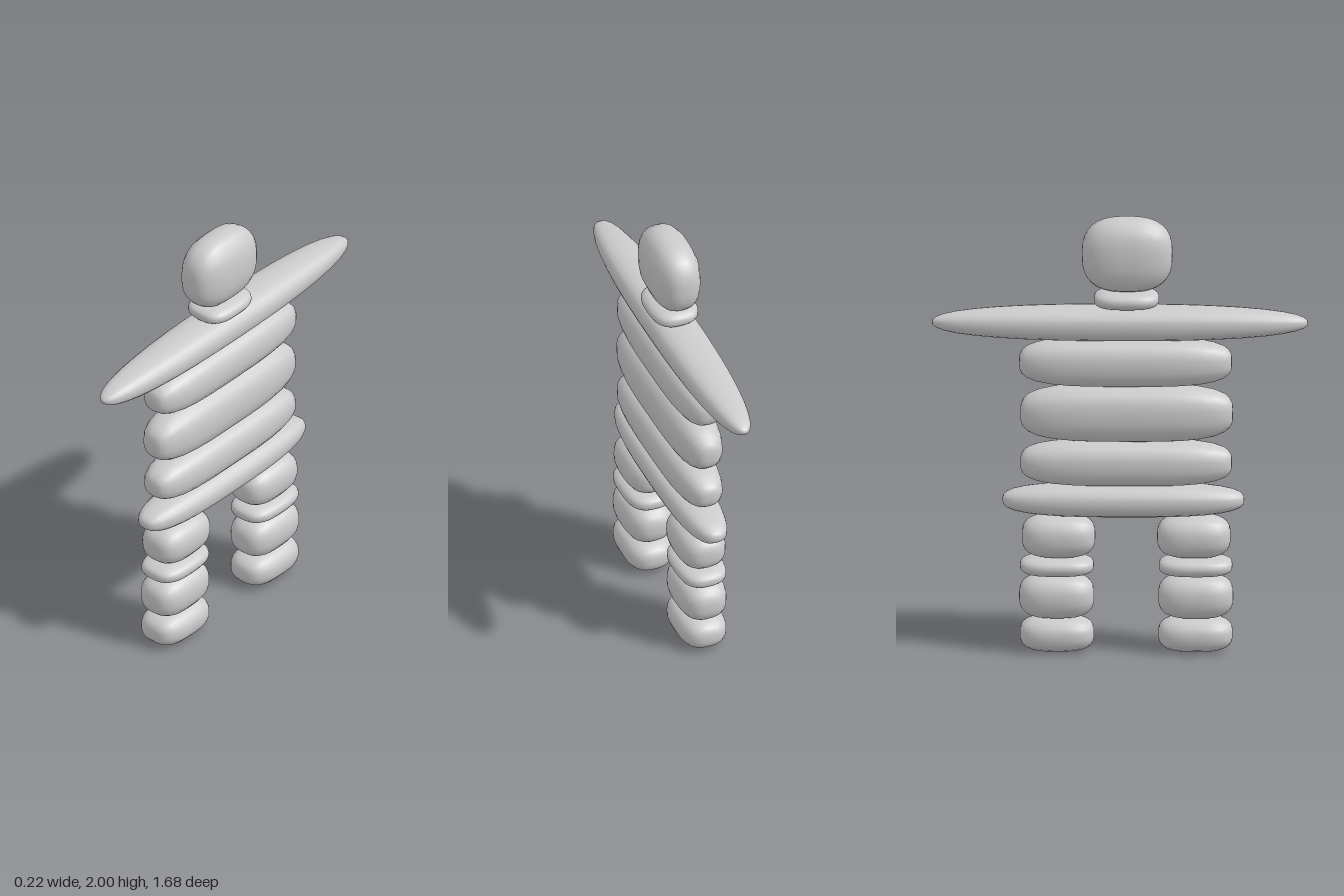
import * as THREE from 'three';
import { mergeVertices } from 'three/addons/utils/BufferGeometryUtils.js';

const material = new THREE.MeshStandardMaterial({ color: 0xcccccc });
const HALF_DEPTH = 0.11;
const CROSS = 2.6; // squareness of each stone's x-y cross-section

// A worn stone: a sphere pushed out to a superellipsoid, long axis on z.
// y0..y1 and z0..z1 are its extents, blunt sets how square its ends are.
function stone(name, y0, y1, z0, z1, blunt) {
  const geometry = new THREE.SphereGeometry(1, 24, 20);
  geometry.rotateX(Math.PI / 2);
  const pos = geometry.attributes.position;
  const v = new THREE.Vector3();
  for (let i = 0; i < pos.count; i++) {
    v.fromBufferAttribute(pos, i);
    const section = Math.pow(Math.abs(v.x) ** CROSS + Math.abs(v.y) ** CROSS, blunt / CROSS);
    v.multiplyScalar(Math.pow(section + Math.abs(v.z) ** blunt, -1 / blunt));
    pos.setXYZ(i, v.x, v.y, v.z);
  }
  geometry.scale(HALF_DEPTH, (y1 - y0) / 2, (z1 - z0) / 2);
  geometry.deleteAttribute('uv');
  geometry.deleteAttribute('normal');
  const smooth = mergeVertices(geometry, 1e-5);
  smooth.computeVertexNormals();
  const mesh = new THREE.Mesh(smooth, material);
  mesh.name = name;
  mesh.position.set(0, (y0 + y1) / 2, (z0 + z1) / 2);
  return mesh;
}

export function createModel() {
  const model = new THREE.Group();
  model.name = 'stoneFigure';

  // Head, neck and the long arm stone
  model.add(
    stone('head', 1.66, 2.0, -0.17, 0.235, 2.7),
    stone('neck', 1.583, 1.668, -0.117, 0.175, 3),
    stone('arms', 1.437, 1.592, -0.84, 0.84, 2.4)
  );

  // Torso slabs and hips
  model.add(
    stone('chest', 1.223, 1.442, -0.45, 0.5, 3.4),
    stone('belly', 0.968, 1.227, -0.445, 0.505, 3.4),
    stone('waist', 0.764, 0.972, -0.445, 0.5, 3.4),
    stone('hips', 0.622, 0.77, -0.525, 0.555, 2.9)
  );

  // Two legs of four stones each, mirrored about the body's middle
  const legStones = [
    ['foot', 0.0, 0.158, 0.143, 0.475],
    ['shin', 0.152, 0.353, 0.143, 0.478],
    ['knee', 0.348, 0.438, 0.145, 0.474],
    ['thigh', 0.432, 0.626, 0.138, 0.466]
  ];
  const middle = 0.028;
  for (const side of [1, -1]) {
    const leg = new THREE.Group();
    leg.name = side > 0 ? 'frontLeg' : 'backLeg';
    for (const [name, y0, y1, inner, outer] of legStones) {
      const a = middle + side * inner;
      const b = middle + side * outer;
      leg.add(stone(name, y0, y1, Math.min(a, b), Math.max(a, b), 3));
    }
    model.add(leg);
  }
  return model;
}
